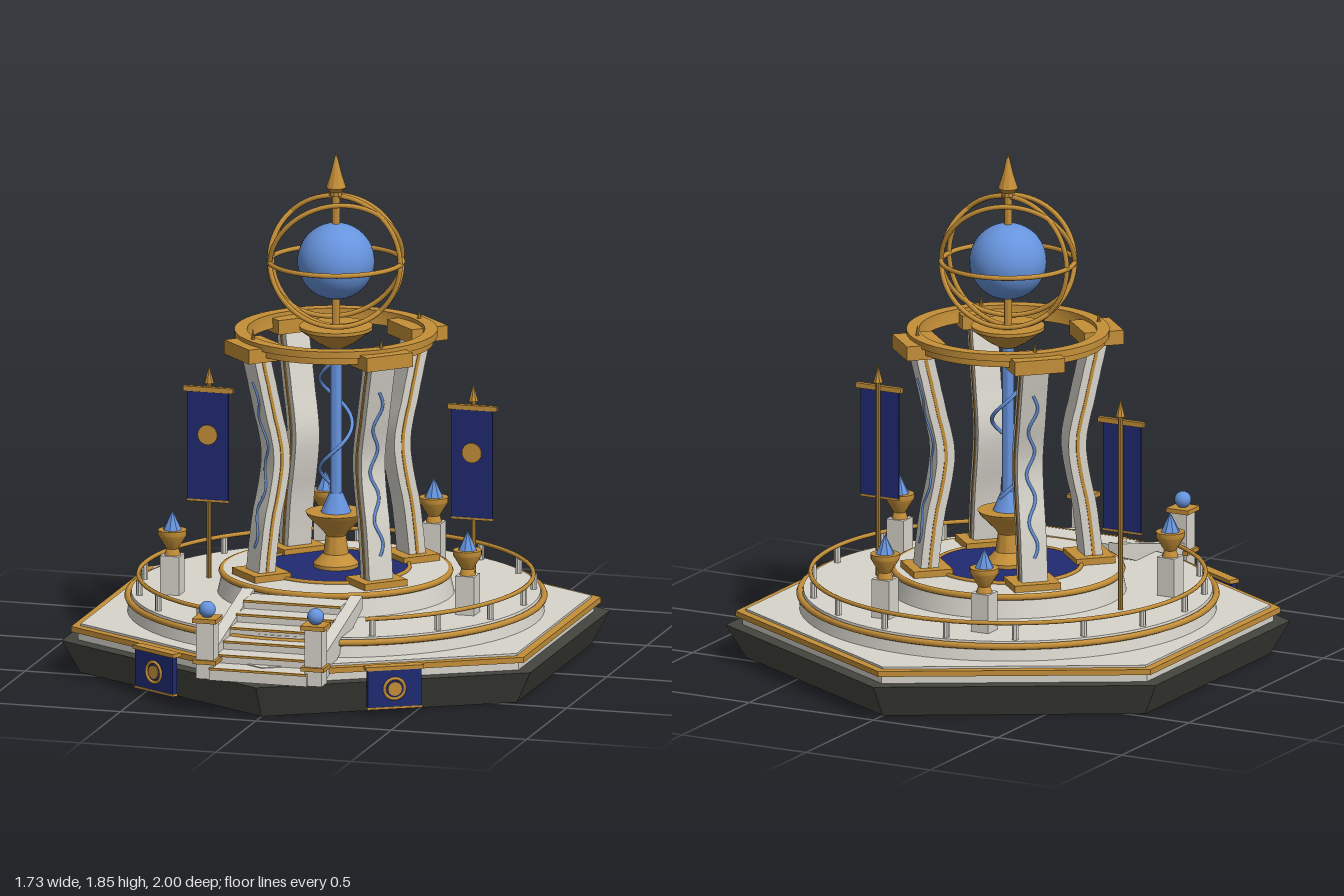
import * as THREE from 'three';
import { toCreasedNormals } from 'three/addons/utils/BufferGeometryUtils.js';

const mat = (name, color) => {
  const m = new THREE.MeshStandardMaterial({ color });
  m.name = name;
  return m;
};

export function createModel() {
  const root = new THREE.Group();
  root.name = 'orreryShrine';
  const stone = mat('pale stone', 0xd8d5cc);
  const dark = mat('dark rock', 0x45453f);
  const gold = mat('gold', 0xc48f38);
  const navy = mat('navy cloth', 0x1f2a72);
  const blue = mat('blue crystal', 0x6794de);

  const add = (name, geo, material, x = 0, y = 0, z = 0, parent = root) => {
    const m = new THREE.Mesh(geo, material);
    m.name = name;
    m.position.set(x, y, z);
    parent.add(m);
    return m;
  };
  const group = (name, x = 0, y = 0, z = 0, ry = 0) => {
    const g = new THREE.Group();
    g.name = name;
    g.position.set(x, y, z);
    g.rotation.y = ry;
    root.add(g);
    return g;
  };
  const box = (w, h, d) => new THREE.BoxGeometry(w, h, d);
  // cylinder spanning y0 to y1
  const cyl = (rTop, rBottom, y0, y1, n = 32) =>
    toCreasedNormals(new THREE.CylinderGeometry(rTop, rBottom, y1 - y0, n).translate(0, (y0 + y1) / 2, 0), 0.7);
  const lathe = (pts, n = 32) =>
    toCreasedNormals(new THREE.LatheGeometry(pts.map(p => new THREE.Vector2(...p)), n), 0.6);
  const ring = (r, tube) => new THREE.TorusGeometry(r, tube, 8, 72).rotateX(Math.PI / 2);

  // Hexagonal base
  add('rockBase', cyl(1, 0.93, 0, 0.12, 6), dark);
  add('hexPlinth', cyl(0.94, 0.94, 0.12, 0.152, 6), stone);
  add('hexTrim', cyl(0.965, 0.965, 0.15, 0.17, 6), gold);
  add('hexFloor', cyl(0.93, 0.93, 0.165, 0.178, 6), stone);

  // Round tiers
  add('lowerTier', cyl(0.725, 0.74, 0.175, 0.247, 72), stone);
  add('lowerTierTrim', ring(0.738, 0.012), gold, 0, 0.231, 0);
  add('upperTier', cyl(0.4, 0.42, 0.245, 0.332, 64), stone);
  add('upperTierTrim', ring(0.404, 0.012), gold, 0, 0.322, 0);
  add('innerFloor', cyl(0.255, 0.255, 0.33, 0.337, 48), navy);
  add('innerFloorTrim', ring(0.26, 0.008), gold, 0, 0.335, 0);

  // Railing, open toward the stairs
  const start = THREE.MathUtils.degToRad(115), arc = THREE.MathUtils.degToRad(310);
  add('handrail', new THREE.TorusGeometry(0.7, 0.008, 8, 80, arc).rotateZ(start).rotateX(Math.PI / 2),
    gold, 0, 0.307, 0);
  for (let i = 0; i < 16; i++) {
    const a = start + arc * (i + 0.1) / 15.2;
    add('railPost', cyl(0.012, 0.012, 0.245, 0.303, 8), stone, 0.7 * Math.cos(a), 0, 0.7 * Math.sin(a));
  }

  // Stairs
  for (let i = 0; i < 6; i++) {
    const top = 0.325 - i * 0.03, front = 0.55 + i * 0.085;
    add('step', box(0.36, top - 0.13, 0.11), stone, 0, (top + 0.13) / 2, front - 0.055);
    add('stepNosing', box(0.36, 0.008, 0.01), gold, 0, top - 0.003, front);
  }
  const side = new THREE.Shape([[-0.42, 0.338], [-0.42, 0.29], [-0.88, 0.13], [-0.95, 0.13], [-0.95, 0.215]]
    .map(p => new THREE.Vector2(...p)));
  for (const s of [-1, 1]) {
    const g = new THREE.ExtrudeGeometry(side, { depth: 0.045, bevelEnabled: false })
      .translate(0, 0, -0.0225).rotateY(Math.PI / 2);
    add('stairSide', g, stone, s * 0.2, 0, 0);
    const post = group('newelPost', s * 0.2, 0, 0.93);
    add('postShaft', box(0.064, 0.21, 0.064), stone, 0, 0.235, 0, post);
    add('postBand', box(0.085, 0.015, 0.085), gold, 0, 0.192, 0, post);
    add('postCap', box(0.088, 0.016, 0.088), gold, 0, 0.342, 0, post);
    add('postOrb', new THREE.SphereGeometry(0.03, 20, 14), blue, 0, 0.377, 0, post);
  }

  // Crystal lamps on pedestals
  for (const [x, z] of [[0.545, 0.2], [-0.545, 0.2], [0.2, -0.545], [-0.2, -0.545]]) {
    const lamp = group('crystalLamp', x, 0, z);
    add('lampPedestal', box(0.07, 0.145, 0.07), stone, 0, 0.315, 0, lamp);
    add('lampUrn', lathe([[0, 0.385], [0.03, 0.385], [0.022, 0.41], [0.052, 0.46], [0.052, 0.478], [0, 0.478]], 16),
      gold, 0, 0, 0, lamp);
    add('lampCrystal', cyl(0, 0.036, 0.475, 0.548, 8), blue, 0, 0, 0, lamp);
  }

  // Standing banners
  for (const s of [-1, 1]) {
    const b = group('banner', s * 0.488, 0, -0.065);
    add('bannerPole', cyl(0.009, 0.009, 0.245, 0.96, 10), gold, 0, 0, 0, b);
    add('bannerFinial', cyl(0, 0.018, 0.955, 1.02, 8), gold, 0, 0, 0, b);
    add('bannerBar', box(0.182, 0.018, 0.018), gold, 0, 0.933, 0.008, b);
    add('bannerCloth', box(0.152, 0.395, 0.008), navy, 0, 0.727, 0.014, b);
    add('bannerHem', box(0.156, 0.008, 0.012), gold, 0, 0.53, 0.014, b);
    add('bannerDisc', new THREE.CylinderGeometry(0.036, 0.036, 0.006, 20).rotateX(Math.PI / 2),
      gold, 0, 0.77, 0.02, b);
  }

  // Cloth plaques on the two front faces of the base
  for (const s of [-1, 1]) {
    const p = group('basePlaque', s * 0.44, 0, 0.762, s * Math.PI / 6);
    add('plaqueCloth', box(0.195, 0.14, 0.02), navy, 0, 0.095, 0, p);
    add('plaqueTopBar', box(0.21, 0.014, 0.04), gold, 0, 0.171, -0.005, p);
    add('plaqueHem', box(0.2, 0.008, 0.024), gold, 0, 0.026, 0, p);
    add('plaqueRing', new THREE.TorusGeometry(0.037, 0.006, 6, 28), gold, 0, 0.095, 0.01, p);
    add('plaqueDisc', new THREE.CylinderGeometry(0.025, 0.025, 0.008, 20).rotateX(Math.PI / 2),
      gold, 0, 0.095, 0.011, p);
  }

  // Four S-curved columns, built along +z and turned to the diagonals
  const curve = new THREE.SplineCurve([[0.305, 0.34], [0.283, 0.53], [0.243, 0.76], [0.278, 0.95], [0.322, 1.14]]
    .map(p => new THREE.Vector2(...p)));
  const spine = curve.getPoints(120);
  const radiusAt = y => (spine.find(p => p.y >= y) || spine[120]).x;
  const curved = (w, d) => {
    const g = new THREE.BoxGeometry(w, 0.8, d, 1, 24, 1).translate(0, 0.74, 0);
    const pos = g.attributes.position;
    for (let i = 0; i < pos.count; i++) pos.setZ(i, pos.getZ(i) + radiusAt(pos.getY(i) - 1e-5));
    g.computeVertexNormals();
    return g;
  };
  const vinePts = [];
  for (let i = 0; i <= 30; i++) {
    const y = 0.44 + i * 0.02;
    vinePts.push(new THREE.Vector3(0.014 * Math.sin(i * 0.75), y, radiusAt(y) + 0.033));
  }
  const vine = new THREE.TubeGeometry(new THREE.CatmullRomCurve3(vinePts), 70, 0.006, 6);
  for (let k = 0; k < 4; k++) {
    const c = group('column', 0, 0, 0, Math.PI / 4 + k * Math.PI / 2);
    add('columnShaft', curved(0.095, 0.066), stone, 0, 0, 0, c);
    add('columnInlay', curved(0.101, 0.012), gold, 0, 0, 0, c);
    add('columnVine', vine, blue, 0, 0, 0, c);
    add('columnFoot', box(0.17, 0.026, 0.145), gold, 0, 0.343, 0.3, c);
    add('columnCap', box(0.185, 0.052, 0.145), gold, 0, 1.16, 0.328, c);
    add('capSpike', cyl(0, 0.011, 1.18, 1.24, 8), gold, 0, 0, 0.335, c);
  }

  // Crown ring joining the columns
  add('crownRing', lathe([[0.31, 1.15], [0.345, 1.15], [0.345, 1.175], [0.36, 1.175], [0.36, 1.2],
    [0.315, 1.2], [0.315, 1.178], [0.31, 1.15]], 64), gold);

  // Central fountain and spire
  add('fountainBowl', lathe([[0, 0.334], [0.08, 0.334], [0.08, 0.35], [0.045, 0.385], [0.036, 0.45],
    [0.045, 0.465], [0.1, 0.52], [0.108, 0.535], [0, 0.535]]), gold);
  add('crystalBase', cyl(0.024, 0.056, 0.53, 0.605), blue);
  add('crystalShaft', cyl(0.021, 0.021, 0.6, 1.15, 20), blue);
  const helix = [];
  for (let i = 0; i <= 50; i++) {
    const y = 0.59 + i * 0.0108, a = 2 * Math.PI * (y - 0.675) / 0.33;
    helix.push(new THREE.Vector3(-0.057 * Math.cos(a), y, 0.057 * Math.sin(a)));
  }
  add('spiral', new THREE.TubeGeometry(new THREE.CatmullRomCurve3(helix), 120, 0.007, 8), blue);

  // Celestial globe with rings
  add('globeBowl', lathe([[0, 1.135], [0.035, 1.135], [0.07, 1.155], [0.13, 1.2], [0.13, 1.212], [0, 1.212]]), gold);
  add('globeAxis', cyl(0.014, 0.014, 1.2, 1.71, 12), gold);
  add('globe', new THREE.SphereGeometry(0.137, 36, 24), blue, 0, 1.447, 0);
  const normals = [[0, 1, 0], [0, 0, 1], [0.38, 0.36, 0.85], [0.38, -0.36, 0.85]];
  for (const n of normals) {
    const r = add('globeRing', new THREE.TorusGeometry(0.237, 0.009, 8, 64), gold, 0, 1.447, 0);
    r.quaternion.setFromUnitVectors(new THREE.Vector3(0, 0, 1), new THREE.Vector3(...n).normalize());
  }
  add('finial', lathe([[0, 1.685], [0.024, 1.685], [0.024, 1.7], [0.036, 1.715], [0.02, 1.765], [0, 1.845]], 10), gold);

  return root;
}
